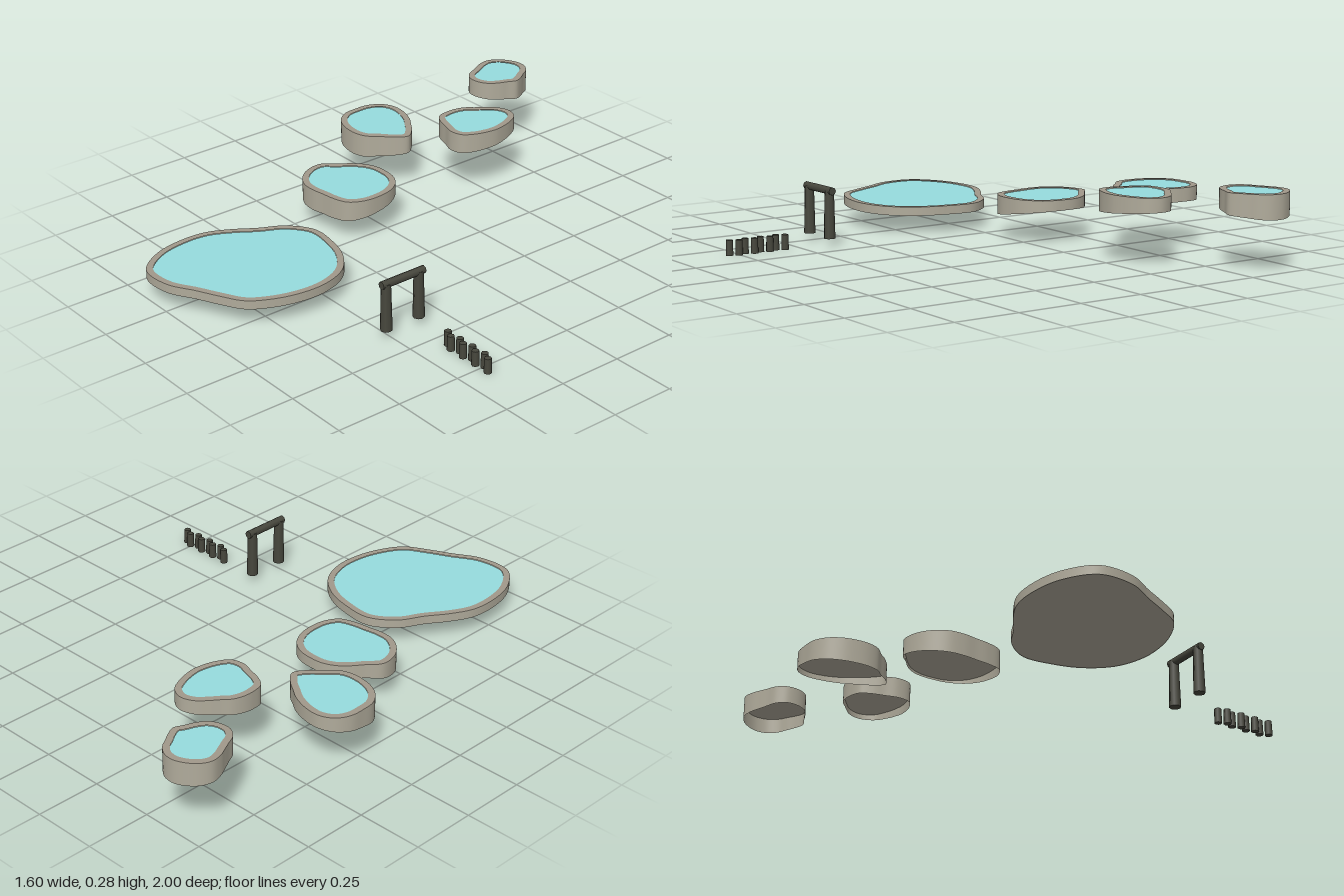
import * as THREE from 'three';

const stone = new THREE.MeshStandardMaterial({ name: 'stone', color: 0xb0ab9b, side: THREE.DoubleSide });
const rimStone = new THREE.MeshStandardMaterial({ name: 'rimStone', color: 0xa1988a });
const water = new THREE.MeshStandardMaterial({ name: 'water', color: 0x96dcde });
const darkWood = new THREE.MeshStandardMaterial({ name: 'darkWood', color: 0x47473d });

const RIM = 0.025;
const STEPS = 108;

// Smooth closed outline in shape space (x, -z) from evenly spaced radii, moved inwards by inset
function outlinePoints(x, z, radii, inset) {
  const curve = new THREE.CatmullRomCurve3(radii.map((r, i) => {
    const angle = (i / radii.length) * Math.PI * 2;
    return new THREE.Vector3(x + (r / 100) * Math.cos(angle), -z - (r / 100) * Math.sin(angle), 0);
  }), true);
  const points = [];
  for (let i = 0; i < STEPS; i++) {
    const p = curve.getPoint(i / STEPS);
    const t = curve.getTangent(i / STEPS);
    points.push(new THREE.Vector2(p.x + t.y * inset, p.y - t.x * inset));
  }
  return points.reverse();
}

function addMesh(parent, name, geometry, material) {
  const mesh = new THREE.Mesh(geometry, material);
  mesh.name = name;
  parent.add(mesh);
  return mesh;
}

// Level sheet facing up
function addSheet(parent, name, shape, y, material) {
  addMesh(parent, name, new THREE.ShapeGeometry(shape).rotateX(-Math.PI / 2), material).position.y = y;
}

// Basin: centre x and z, rim height, bottom height at its front and back,
// and radii in hundredths every 20 degrees from +x towards +z
function addBasin(model, name, x, z, top, front, back, radii) {
  const group = new THREE.Group();
  group.name = name;
  model.add(group);
  const outer = outlinePoints(x, z, radii, 0);
  const inner = outlinePoints(x, z, radii, RIM);

  // Stone skirt, open below: level at the rim, lower edge following the slope
  const depths = outer.map((p) => -p.y);
  const zMin = Math.min(...depths), zMax = Math.max(...depths);
  const skirt = new THREE.PlaneGeometry(1, 1, STEPS, 1);
  const pos = skirt.attributes.position;
  for (let i = 0; i < pos.count; i++) {
    const p = outer[i % (STEPS + 1) % STEPS];
    const bottom = THREE.MathUtils.mapLinear(-p.y, zMin, zMax, back, front);
    pos.setXYZ(i, p.x, pos.getY(i) > 0 ? top : bottom, -p.y);
  }
  skirt.computeVertexNormals();
  addMesh(group, 'stoneSkirt', skirt, stone);

  // Flat rim, water and the stone bed beneath
  const ring = new THREE.Shape(outer);
  ring.holes.push(new THREE.Path(inner));
  addSheet(group, 'rim', ring, top, rimStone);
  addSheet(group, 'waterSurface', new THREE.Shape(inner), top - 0.002, water);
  addSheet(group, 'bed', new THREE.Shape(outer), top - 0.032, stone);
}

export function createModel() {
  const model = new THREE.Group();
  model.name = 'poolGarden';

  // Pools stepping up towards the back
  addBasin(model, 'lowerLake', -0.2, 0.66, 0.103, 0.069, 0.069,
    [29.6, 28.6, 28.4, 26.8, 27.8, 33.3, 37.7, 35.4, 32, 29.5, 26.8, 26.2, 30, 33, 32.4, 32.9, 33.1, 31.5]);
  addBasin(model, 'firstPool', -0.4, 0.06, 0.163, 0.078, 0.123,
    [17.7, 18.3, 18.4, 16.3, 15.1, 15.9, 17.4, 18.3, 18.8, 18.4, 15.3, 14.7, 15, 15.4, 15.8, 16.9, 17.6, 17.7]);
  addBasin(model, 'secondPool', -0.64, -0.28, 0.222, 0.13, 0.17,
    [17.5, 15.4, 13.8, 14.4, 14.4, 14.4, 15, 15.8, 16.2, 15.9, 16.6, 16.7, 15.4, 13.4, 12.2, 11.9, 12.3, 14.5]);
  addBasin(model, 'thirdPool', -0.37, -0.54, 0.253, 0.173, 0.2,
    [12.7, 13, 14.1, 15.6, 14.9, 13.4, 13.7, 14.3, 13, 12.1, 11.5, 10.9, 11.8, 14.1, 15.9, 15.6, 13.8, 12.8]);
  addBasin(model, 'upperPool', -0.61, -0.87, 0.281, 0.213, 0.19,
    [11.4, 10.6, 11.2, 12.4, 13, 13.1, 12, 10.3, 10.1, 11.1, 12.5, 12.9, 12.9, 13.1, 12.7, 11.6, 10.4, 10.6]);

  // Gate: two tapered posts and a round beam
  const gate = new THREE.Group();
  gate.name = 'gate';
  for (const z of [0.363, 0.508]) {
    const post = addMesh(gate, 'gatePost', new THREE.CylinderGeometry(0.018, 0.022, 0.182, 8), darkWood);
    post.position.set(0.38, 0.117, z);
  }
  const beam = addMesh(gate, 'gateBeam', new THREE.CylinderGeometry(0.015, 0.015, 0.188, 8), darkWood);
  beam.rotation.x = Math.PI / 2;
  beam.position.set(0.38, 0.206, 0.434);
  model.add(gate);

  // Palisade: a staggered row of short stakes
  const fence = new THREE.Group();
  fence.name = 'palisade';
  for (let i = 0; i < 8; i++) {
    const stake = addMesh(fence, 'stake', new THREE.CylinderGeometry(0.013, 0.0145, 0.057, 8), darkWood);
    stake.position.set(0.561 + i * 0.0321, 0.0285, i % 2 ? 0.396 : 0.382);
  }
  model.add(fence);
  return model;
}
